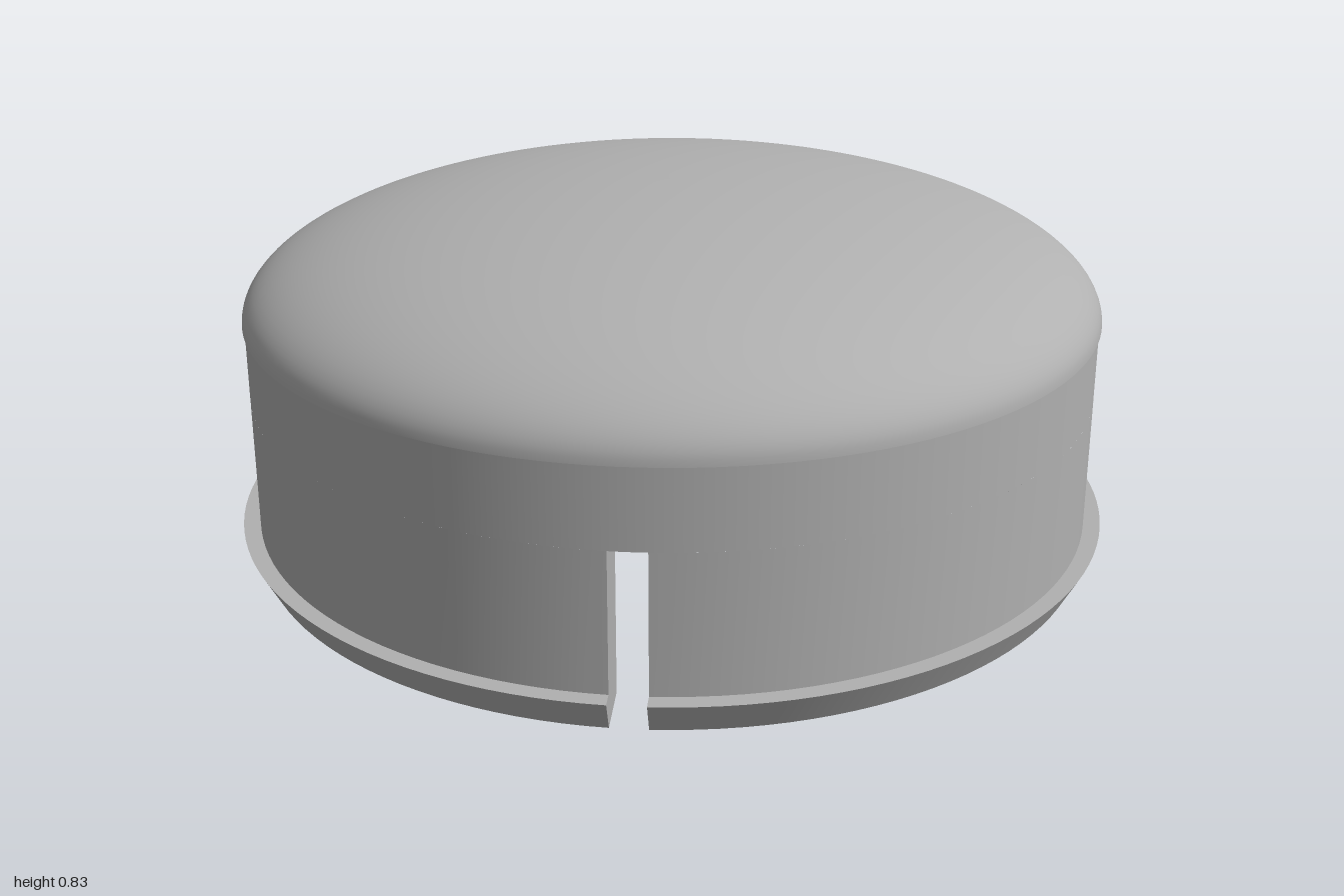
import * as THREE from 'three';

const SLOT_ANGLE = -15.5 * Math.PI / 180; // front slot; the other is opposite
const HALF_SLOT = 0.039;
const SLOT_TOP = 0.38, SHOULDER = 0.555;
const R_IN = 0.83, R_OUT = 0.962, R_RIM = 1.0, R_DOME = 0.967;

// Slotted skirt cross-section (radius, height), with the snap rim at its foot
const SECTION = [
  [R_IN, 0], [R_OUT, 0], [R_RIM, 0.073], [R_OUT, 0.073], [R_OUT, SLOT_TOP], [R_IN, SLOT_TOP],
];
const CAP_TRIANGLES = [[1, 2, 3], [0, 1, 3], [0, 3, 5], [3, 4, 5]];

// Half of the skirt between the two slots, with flat parallel slot walls
function skirtSector(start) {
  const steps = 64, pos = [], index = [];
  const point = ([r, y], t) => {
    const inset = Math.asin(HALF_SLOT / r);
    const a = start + inset + (Math.PI - 2 * inset) * t;
    pos.push(r * Math.sin(a), y, r * Math.cos(a));
  };
  // One smooth band per section edge (the last two edges need only the inner wall)
  for (const [p, q] of [[0, 1], [1, 2], [2, 3], [3, 4], [5, 0]]) {
    const base = pos.length / 3;
    for (let i = 0; i <= steps; i++) {
      point(SECTION[p], i / steps);
      point(SECTION[q], i / steps);
    }
    for (let i = 0; i < steps; i++) {
      const k = base + i * 2;
      index.push(k, k + 2, k + 3, k, k + 3, k + 1);
    }
  }
  // Slot walls at both ends
  for (const t of [0, 1]) {
    const base = pos.length / 3;
    SECTION.forEach((p) => point(p, t));
    for (const [a, b, c] of CAP_TRIANGLES) {
      if (t === 0) index.push(base + a, base + b, base + c);
      else index.push(base + a, base + c, base + b);
    }
  }
  const g = new THREE.BufferGeometry();
  g.setAttribute('position', new THREE.Float32BufferAttribute(pos, 3));
  g.setIndex(index);
  g.computeVertexNormals();
  return g;
}

export function createModel() {
  const model = new THREE.Group();
  model.name = 'roundCap';
  const grey = new THREE.MeshStandardMaterial({ color: 0xb0b0b0 });
  grey.name = 'grey plastic';

  const add = (name, geometry) => {
    const mesh = new THREE.Mesh(geometry, grey);
    mesh.name = name;
    model.add(mesh);
    return mesh;
  };
  const lathe = (name, points) =>
    add(name, new THREE.LatheGeometry(points.map(([r, y]) => new THREE.Vector2(r, y)), 128));

  // Skirt halves and the roofs of the slots between them
  for (let i = 0; i < 2; i++) {
    const angle = SLOT_ANGLE + i * Math.PI;
    add('slottedSkirt', skirtSector(angle));
    const roof = new THREE.PlaneGeometry(HALF_SLOT * 2, R_OUT - R_IN);
    roof.rotateX(Math.PI / 2);
    roof.translate(0, SLOT_TOP, (R_IN + R_OUT) / 2);
    roof.rotateY(angle);
    add('slotRoof', roof);
  }

  // Unbroken wall above the slots
  lathe('upperOuterWall', [[R_OUT, SLOT_TOP], [R_OUT, SHOULDER]]);
  lathe('upperInnerWall', [[R_IN, SHOULDER], [R_IN, SLOT_TOP]]);
  lathe('ceiling', [[0, SHOULDER], [R_IN, SHOULDER]]);

  // Elliptical dome with a slight overhang
  lathe('domeLip', [[R_OUT, SHOULDER], [R_DOME, SHOULDER]]);
  const dome = [];
  for (let i = 0; i <= 32; i++) {
    const a = (i / 32) * Math.PI / 2;
    dome.push([i === 32 ? 0 : R_DOME * Math.cos(a), SHOULDER + 0.275 * Math.sin(a)]);
  }
  lathe('dome', dome);

  return model;
}
